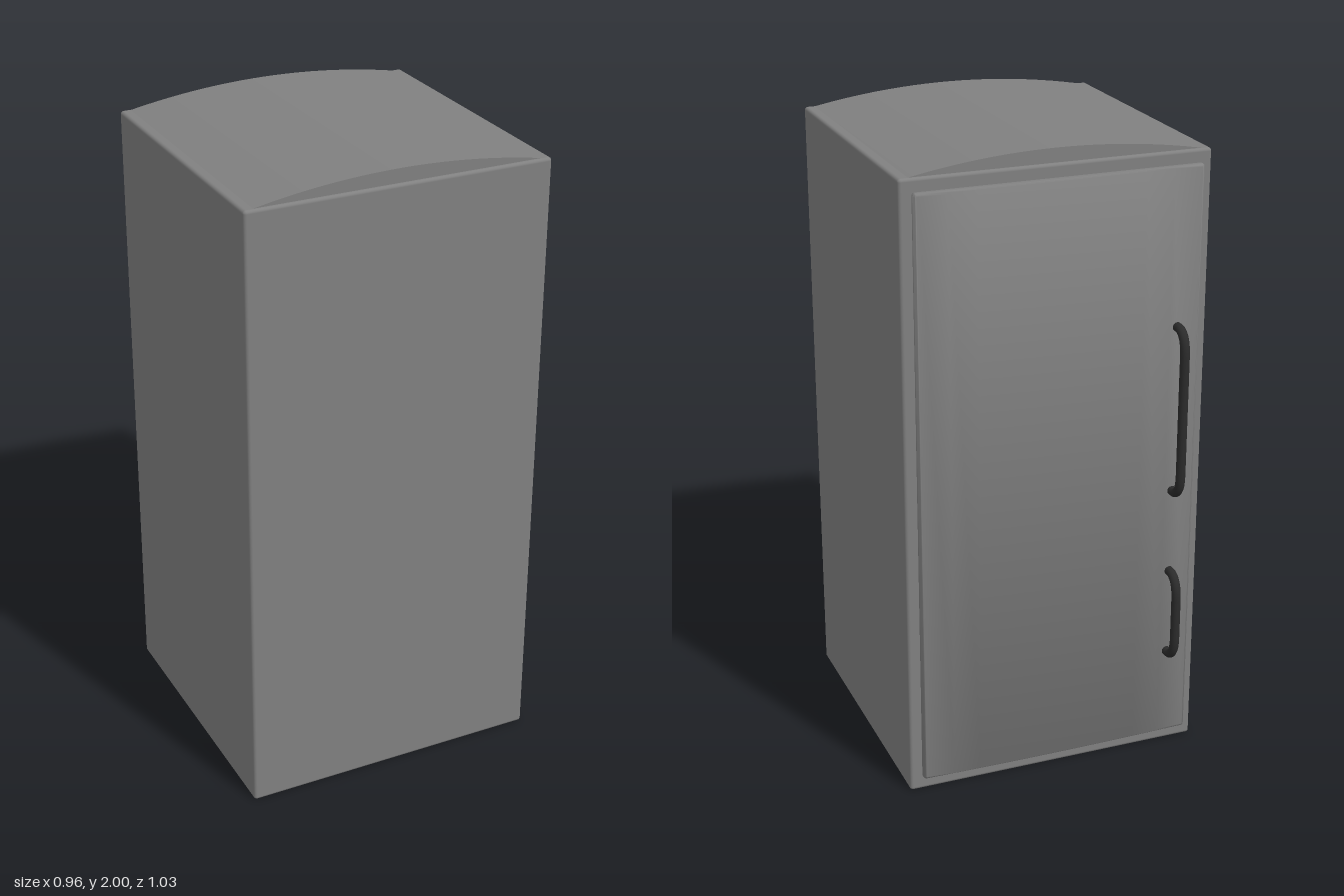
import * as THREE from 'three';
import { toCreasedNormals } from 'three/addons/utils/BufferGeometryUtils.js';
import { RoundedBoxGeometry } from 'three/addons/geometries/RoundedBoxGeometry.js';

const W = 0.96, BACK = -0.41, FRONT = 0.515, SHOULDER = 1.957;

export function createModel() {
  const model = new THREE.Group();
  model.name = 'refrigerator';
  const steel = new THREE.MeshStandardMaterial({ color: 0x808080 });
  const black = new THREE.MeshStandardMaterial({ color: 0x2b2b2b });
  const cream = new THREE.MeshStandardMaterial({ color: 0xd8d4c4 });

  const add = (name, geometry, material, x = 0, y = 0, z = 0) => {
    const mesh = new THREE.Mesh(geometry, material);
    mesh.name = name;
    mesh.position.set(x, y, z);
    model.add(mesh);
    return mesh;
  };

  // Cabinet with softened edges
  add('cabinet', new RoundedBoxGeometry(W, SHOULDER, FRONT - BACK, 3, 0.01),
    steel, 0, SHOULDER / 2, (FRONT + BACK) / 2);

  // Shallow arched top, set in slightly from the cabinet faces
  const half = 0.478, base = 1.951, rise = 2 - base;
  const radius = (half * half + rise * rise) / (2 * rise);
  const angle = Math.asin(half / radius);
  const arch = new THREE.Shape();
  arch.absarc(0, 2 - radius, radius, Math.PI / 2 - angle, Math.PI / 2 + angle, false);
  arch.closePath();
  const topGeometry = new THREE.ExtrudeGeometry(arch, {
    depth: FRONT - BACK - 0.02, bevelEnabled: false, curveSegments: 12,
  });
  add('archedTop', toCreasedNormals(topGeometry, 0.5), steel, 0, 0, BACK + 0.01);

  // Seal between the cabinet and the door
  add('doorSeal', new THREE.BoxGeometry(0.86, 1.83, 0.02), cream, 0, 0.985, BACK - 0.005);

  // Door: slightly bowed plan with round ends, extruded upwards
  const x = 0.446, r = 0.014, inner = 0.414, outer = 0.441, bow = 0.448;
  const plan = new THREE.Shape();
  plan.moveTo(-x + r, inner);
  plan.lineTo(x - r, inner);
  plan.quadraticCurveTo(x, inner, x, (inner + outer) / 2);
  plan.quadraticCurveTo(x, outer, x - r, outer);
  plan.quadraticCurveTo(0, 2 * bow - outer, -x + r, outer);
  plan.quadraticCurveTo(-x, outer, -x, (inner + outer) / 2);
  plan.quadraticCurveTo(-x, inner, -x + r, inner);
  const bevel = 0.009;
  const doorGeometry = new THREE.ExtrudeGeometry(plan, {
    depth: 1.87 - 2 * bevel, curveSegments: 10,
    bevelThickness: bevel, bevelSize: bevel, bevelOffset: -bevel, bevelSegments: 3,
  });
  doorGeometry.rotateX(-Math.PI / 2);
  add('door', toCreasedNormals(doorGeometry, 0.8), steel, 0, 0.05 + bevel, 0);

  // Bent bar handles: rounded corners between the door and the grip
  const addHandle = (name, low, high) => {
    const foot = -0.435, grip = -0.501, bendY = 0.075, bendZ = -0.46;
    const p = (y, z) => new THREE.Vector3(-0.37, y, z);
    const path = new THREE.CurvePath();
    path.add(new THREE.LineCurve3(p(high, foot), p(high, bendZ)));
    path.add(new THREE.QuadraticBezierCurve3(p(high, bendZ), p(high - 0.01, grip), p(high - bendY, grip)));
    path.add(new THREE.LineCurve3(p(high - bendY, grip), p(low + bendY, grip)));
    path.add(new THREE.QuadraticBezierCurve3(p(low + bendY, grip), p(low + 0.01, grip), p(low, bendZ)));
    path.add(new THREE.LineCurve3(p(low, bendZ), p(low, foot)));
    add(name, new THREE.TubeGeometry(path, 64, 0.0145, 12, false), black);
  };
  addHandle('upperHandle', 0.9, 1.432);
  addHandle('lowerHandle', 0.343, 0.626);

  return model;
}
